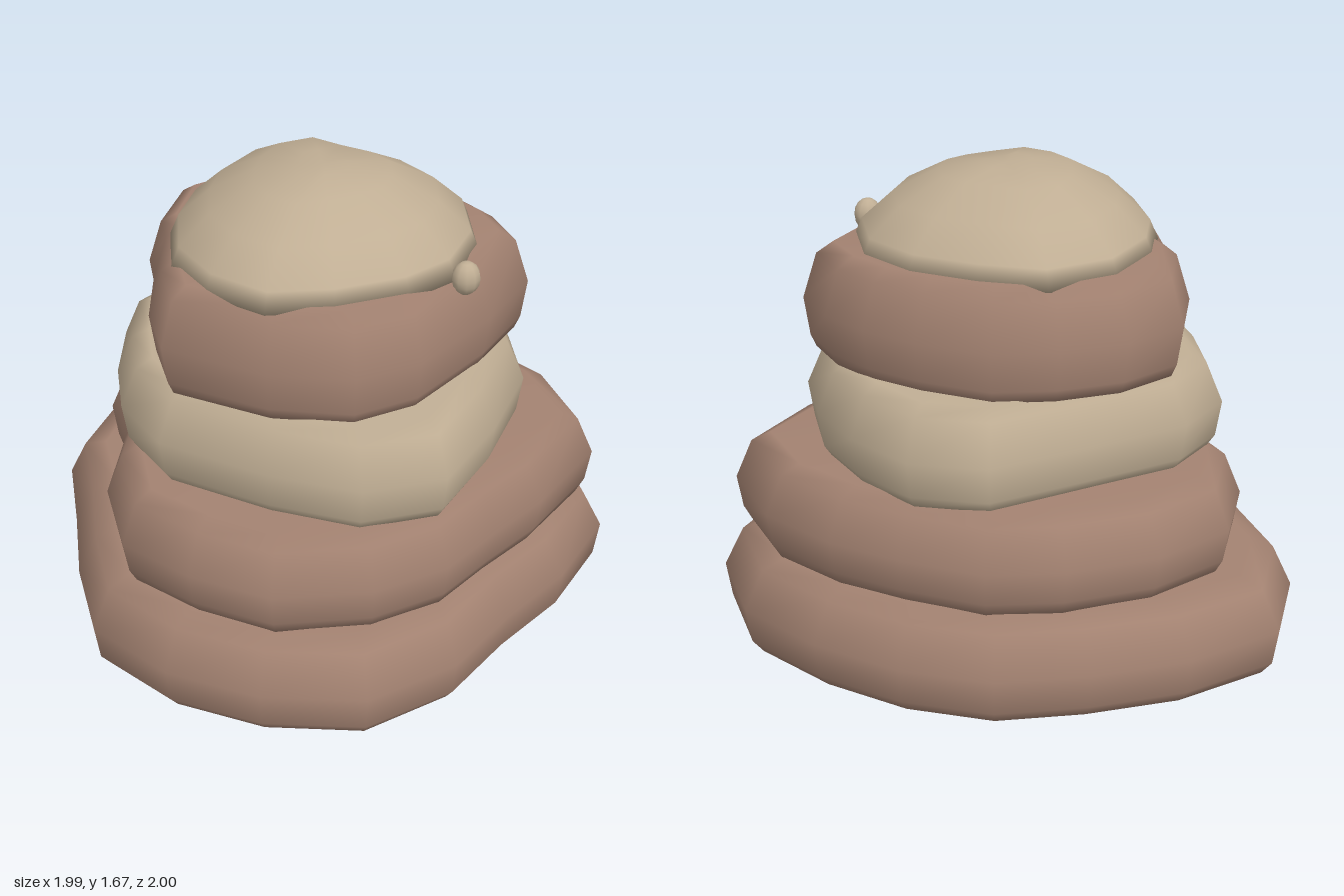
import * as THREE from 'three';

const clay = new THREE.MeshStandardMaterial({ color: 0xa38271 });
clay.name = 'brown clay';
const cream = new THREE.MeshStandardMaterial({ color: 0xc0ae94 });
cream.name = 'cream clay';

// Stacks rings of an irregular outline [x, z]; each profile entry is [inset, y].
function slab(name, material, outline, profile, topY) {
  const n = outline.length;
  const cx = -0.04, cz = 0.01;
  const ring = outline
    .map(([x, z]) => ({ a: Math.atan2(z - cz, x - cx), r: Math.hypot(x - cx, z - cz) }))
    .sort((p, q) => p.a - q.a);
  const pos = [], index = [];
  for (const [inset, y] of profile) {
    for (const { a, r } of ring) {
      pos.push(cx + Math.cos(a) * (r - inset), y, cz + Math.sin(a) * (r - inset));
    }
  }
  const rows = profile.length;
  const bottom = rows * n, top = bottom + 1;
  pos.push(cx, profile[0][1], cz, cx, topY, cz);
  for (let i = 0; i < n; i++) {
    const k = (i + 1) % n;
    for (let j = 0; j < rows - 1; j++) {
      const a = j * n + i, b = j * n + k, c = a + n, d = b + n;
      index.push(a, c, b, b, c, d);
    }
    index.push(bottom, i, k);
    index.push(top, (rows - 1) * n + k, (rows - 1) * n + i);
  }
  const geo = new THREE.BufferGeometry();
  geo.setAttribute('position', new THREE.Float32BufferAttribute(pos, 3));
  geo.setIndex(index);
  geo.computeVertexNormals();
  const mesh = new THREE.Mesh(geo, material);
  mesh.name = name;
  return mesh;
}

export function createModel() {
  const group = new THREE.Group();
  group.name = 'stackedMound';

  // Wide base layer
  group.add(slab('baseLayer', clay, [
    [-0.24, -1], [0.11, -0.94], [0.42, -0.84], [0.67, -0.63], [0.86, -0.35], [0.99, -0.02],
    [0.94, 0.35], [0.67, 0.59], [0.38, 0.75], [0.11, 0.93], [-0.24, 1], [-0.57, 0.86],
    [-0.83, 0.63], [-1, 0.32], [-0.97, -0.02], [-0.9, -0.35], [-0.84, -0.68], [-0.61, -0.96],
  ], [[0.06, 0], [0.02, 0.05], [0, 0.18], [0.07, 0.32], [0.16, 0.352]], 0.352));

  // Second layer
  group.add(slab('secondLayer', clay, [
    [-0.18, -0.87], [0.15, -0.83], [0.4, -0.73], [0.61, -0.51], [0.77, -0.29], [0.89, 0],
    [0.88, 0.35], [0.57, 0.58], [0.34, 0.7], [0.11, 0.83], [-0.17, 0.87], [-0.5, 0.79],
    [-0.72, 0.58], [-0.88, 0.33], [-0.85, 0], [-0.7, -0.32], [-0.69, -0.55], [-0.49, -0.8],
  ], [[0.05, 0.345], [0.02, 0.4], [0, 0.52], [0.06, 0.66], [0.13, 0.692]], 0.692));

  // Cream middle layer
  group.add(slab('middleLayer', cream, [
    [-0.03, -0.65], [0.35, -0.66], [0.57, -0.5], [0.66, -0.24], [0.68, 0.02], [0.61, 0.3],
    [0.38, 0.57], [0.11, 0.8], [-0.18, 0.78], [-0.44, 0.58], [-0.72, 0.27], [-0.78, 0],
    [-0.73, -0.24], [-0.63, -0.5], [-0.41, -0.63],
  ], [[0.05, 0.685], [0.02, 0.73], [0, 0.86], [0.06, 1], [0.12, 1.032]], 1.032));

  // Upper layer
  group.add(slab('upperLayer', clay, [
    [-0.16, -0.66], [0.08, -0.63], [0.29, -0.55], [0.47, -0.35], [0.58, -0.17], [0.64, 0.02],
    [0.64, 0.23], [0.41, 0.43], [0.08, 0.63], [-0.16, 0.66], [-0.42, 0.53], [-0.69, 0.25],
    [-0.67, 0.02], [-0.58, -0.24], [-0.56, -0.37], [-0.4, -0.6],
  ], [[0.04, 1.025], [0.02, 1.07], [0, 1.21], [0.05, 1.37], [0.11, 1.41]], 1.405));

  // Rounded cap
  group.add(slab('cap', cream, [
    [0.08, -0.55], [-0.18, -0.54], [-0.4, -0.39], [-0.52, -0.21], [-0.59, 0.04], [-0.54, 0.27],
    [-0.4, 0.46], [-0.18, 0.52], [0.08, 0.52], [0.27, 0.45], [0.43, 0.27], [0.5, 0.02],
    [0.43, -0.21], [0.27, -0.4],
  ], [[0, 1.39], [0.03, 1.46], [0.14, 1.56], [0.3, 1.645], [0.45, 1.667]], 1.67));

  // Small drip spilling over the front of the cap
  const drip = new THREE.Mesh(new THREE.SphereGeometry(1, 10, 8), cream);
  drip.name = 'drip';
  drip.scale.set(0.05, 0.06, 0.045);
  drip.position.set(0.3, 1.4, 0.46);
  group.add(drip);

  return group;
}
